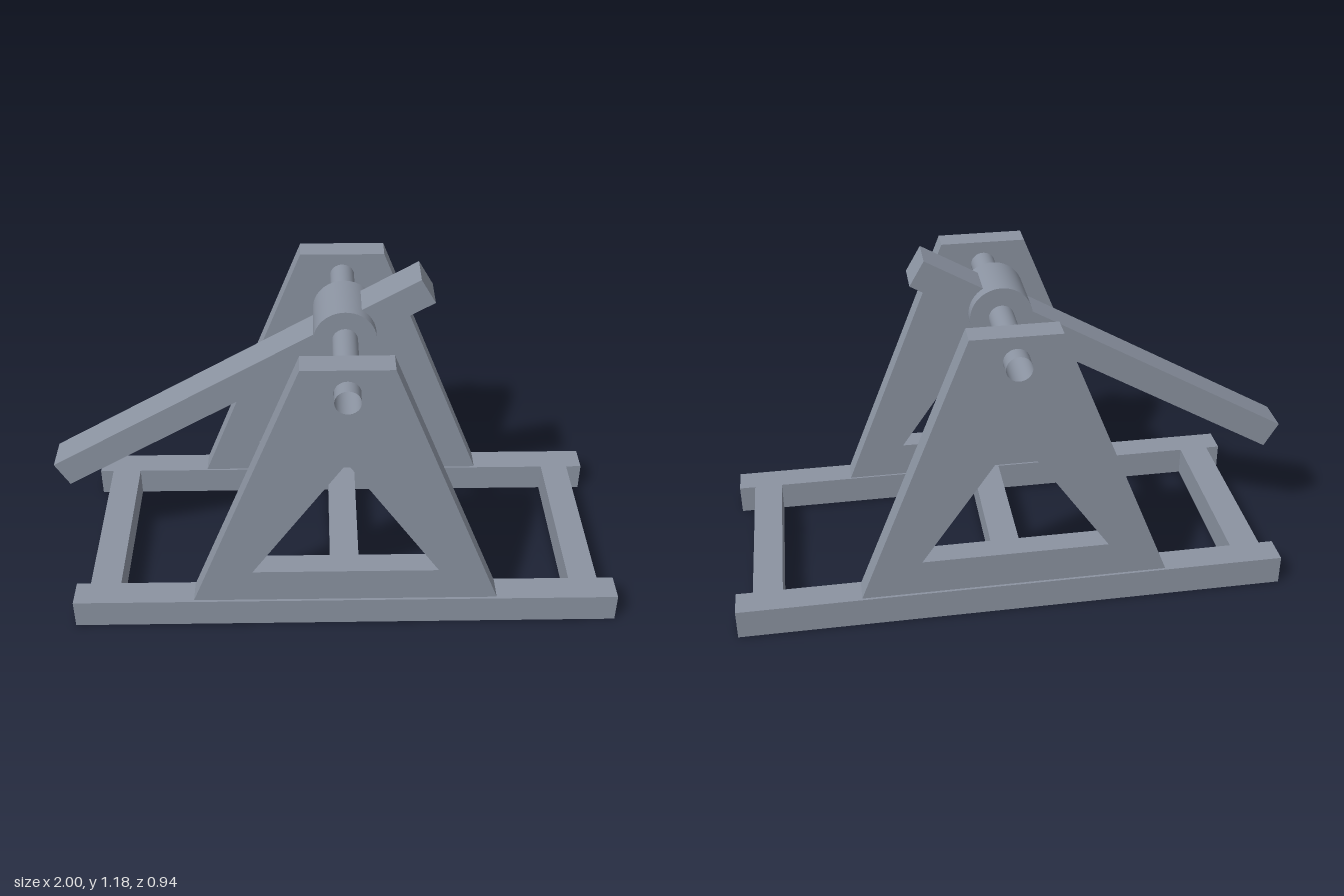
import * as THREE from 'three';
import { toCreasedNormals } from 'three/addons/utils/BufferGeometryUtils.js';

const AXLE = { x: 0.04, y: 0.982, r: 0.043 };

export function createModel() {
  const model = new THREE.Group();
  model.name = 'catapult';
  const steel = new THREE.MeshStandardMaterial({ color: 0x8b93a1, side: THREE.DoubleSide });
  steel.name = 'blue grey';

  const add = (name, geometry, parent = model) => {
    const mesh = new THREE.Mesh(geometry, steel);
    mesh.name = name;
    parent.add(mesh);
    return mesh;
  };

  // Box given by its extents on each axis
  const addBox = (name, [x0, x1], [y0, y1], [z0, z1], parent) => {
    const box = add(name, new THREE.BoxGeometry(x1 - x0, y1 - y0, z1 - z0), parent);
    box.position.set((x0 + x1) / 2, (y0 + y1) / 2, (z0 + z1) / 2);
    return box;
  };

  // Base: two long rails joined by three crossbars
  const baseTop = 0.106;
  addBox('leftRail', [-0.918, 1], [0, baseTop], [0.325, 0.426]);
  addBox('rightRail', [-0.918, 1], [0, baseTop], [-0.426, -0.325]);
  addBox('rearCrossbar', [-0.868, -0.76], [0, baseTop], [-0.325, 0.325]);
  addBox('middleCrossbar', [-0.012, 0.092], [0, baseTop], [-0.325, 0.325]);
  addBox('frontCrossbar', [0.84, 0.942], [0, baseTop], [-0.325, 0.325]);

  // A-frames: tapered plate with a triangular window and an axle hole
  const points = (list) => list.map(([x, y]) => new THREE.Vector2(x, y));
  const plate = new THREE.Shape(points([[-0.494, baseTop], [0.572, baseTop], [0.19, 1.067], [-0.11, 1.067]]));
  plate.holes.push(new THREE.Path(points([[-0.284, 0.235], [0.04, 0.706], [0.362, 0.235]])));
  const bore = new THREE.Path();
  bore.absarc(AXLE.x, AXLE.y, AXLE.r + 0.001, 0, Math.PI * 2, true);
  plate.holes.push(bore);
  const plateGeometry = new THREE.ExtrudeGeometry(plate, { depth: 0.085, bevelEnabled: false, curveSegments: 24 });
  for (const [name, z] of [['leftFrame', 0.332], ['rightFrame', -0.417]]) {
    add(name, plateGeometry).position.z = z;
  }

  // Hollow axle, open at both ends
  const axle = new THREE.CylinderGeometry(AXLE.r, AXLE.r, 0.94, 48, 1, true);
  axle.rotateX(Math.PI / 2);
  add('axle', axle).position.set(AXLE.x, AXLE.y, 0);

  // Hub: thick sleeve around the axle
  const sleeve = new THREE.LatheGeometry(
    points([[AXLE.r, -0.106], [0.106, -0.106], [0.106, 0.106], [AXLE.r, 0.106]]), 48);
  sleeve.rotateX(Math.PI / 2);
  add('hub', toCreasedNormals(sleeve, 0.6)).position.set(AXLE.x, AXLE.y, 0);

  // Throwing arm: two beams set into the hub, tilted together
  const arm = new THREE.Group();
  arm.name = 'throwingArm';
  arm.position.set(AXLE.x, AXLE.y, 0);
  arm.rotation.z = Math.PI / 6;
  addBox('longArm', [-1.172, -0.08], [-0.05, 0.05], [-0.064, 0.064], arm);
  addBox('shortArm', [0.08, 0.317], [-0.05, 0.05], [-0.064, 0.064], arm);
  model.add(arm);

  return model;
}
